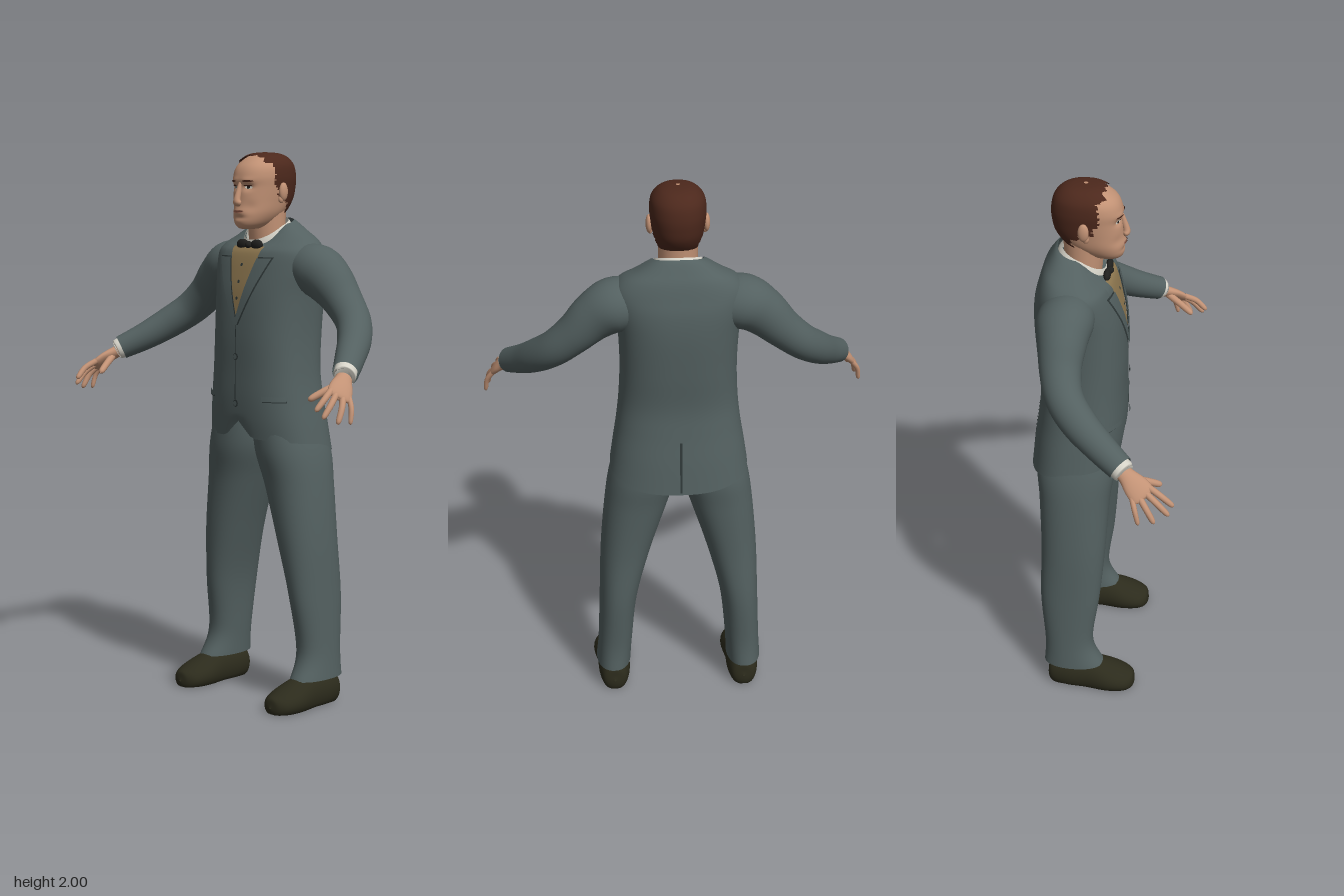
import * as THREE from 'three';

const paint = (name, color) => {
  const m = new THREE.MeshStandardMaterial({ color, side: THREE.DoubleSide });
  m.name = name;
  return m;
};
const V = (x, y, z) => new THREE.Vector3(x, y, z);
const lerp = THREE.MathUtils.lerp;

// Smooth interpolation through rows of numbers, t in 0..1
function spline(rows, t) {
  const n = rows.length - 1, i = Math.min(n - 1, Math.floor(t * n)), f = t * n - i;
  const [a, b, c, d] = [rows[Math.max(0, i - 1)], rows[i], rows[i + 1], rows[Math.min(n, i + 2)]];
  return b.map((_, k) => {
    const m0 = (c[k] - a[k]) / 2, m1 = (d[k] - b[k]) / 2;
    return (2 * f ** 3 - 3 * f * f + 1) * b[k] + (f ** 3 - 2 * f * f + f) * m0
      + (3 * f * f - 2 * f ** 3) * c[k] + (f ** 3 - f * f) * m1;
  });
}

// Grid surface from f(u, v); closed wraps u, keep filters faces by their centre
function surface(f, nu, nv, closed = true, keep = null) {
  const pts = [], idx = [], w = closed ? nu : nu + 1;
  for (let j = 0; j <= nv; j++) for (let i = 0; i < w; i++) pts.push(f(i / nu, j / nv));
  for (let j = 0; j < nv; j++) for (let i = 0; i < nu; i++) {
    const a = j * w + i, b = j * w + (i + 1) % w, c = b + w, d = a + w;
    if (keep && !keep(pts[a].clone().add(pts[c]).multiplyScalar(0.5))) continue;
    idx.push(a, b, c, a, c, d);
  }
  const g = new THREE.BufferGeometry().setFromPoints(pts);
  g.setIndex(idx);
  g.computeVertexNormals();
  return g;
}

// Upright form: rows of [y, halfWidth, frontZ, backZ, frontLift, backLift, centreX]
function body(rows, e = 0.85, mod = (p) => p) {
  const point = (c, s, v) => {
    const [y, hx, zf, zb, df = 0, db = 0, cx = 0] = spline(rows, v);
    const pw = (q) => Math.sign(q) * Math.abs(q) ** e;
    return mod(V(cx + hx * pw(c), y + (s > 0 ? df * s : -db * s), (zf + zb) / 2 + (zf - zb) / 2 * pw(s)));
  };
  return {
    at: (u, v) => point(Math.cos(u * 2 * Math.PI), -Math.sin(u * 2 * Math.PI), v),
    // Point on the front (or back, side = -1) at a given x and y
    on(x, y, off, side = 1) {
      let lo = 0, hi = 1, p;
      for (let k = 0; k < 24; k++) {
        const v = (lo + hi) / 2, hx = Math.max(1e-4, spline(rows, v)[1]);
        const c = Math.min(1, Math.abs(x) / hx) ** (1 / e);
        p = point(c, side * Math.sqrt(1 - c * c), v);
        if (p.y < y) lo = v; else hi = v;
      }
      return V(x, y, p.z + side * off);
    },
  };
}

// Tube along rows of [x, y, z, a, b]; a is measured along ref
function sweep(rows, ref, nu = 20, nv = 24, map = (p) => p) {
  return surface((u, v) => {
    const r = spline(rows, v), p0 = spline(rows, Math.max(0, v - 0.01)), p1 = spline(rows, Math.min(1, v + 0.01));
    const T = V(p1[0] - p0[0], p1[1] - p0[1], p1[2] - p0[2]).normalize();
    const N = T.clone().cross(ref).normalize(), S = N.clone().cross(T), t = u * 2 * Math.PI;
    return map(V(r[0], r[1], r[2]).addScaledVector(S, r[3] * Math.cos(t)).addScaledVector(N, r[4] * Math.sin(t)));
  }, nu, nv);
}

// Thin panel lying on a form between two edges x = left(y) and x = right(y)
const panel = (form, y0, y1, left, right, off, side = 1) => surface((u, v) => {
  const y = lerp(y0, y1, v);
  return form.on(lerp(left(y), right(y), u), y, off, side);
}, 10, 20, false);

// Thin oval lying on a form
function oval(form, cx, cy, rx, ry, off) {
  const g = new THREE.CircleGeometry(1, 20), p = g.attributes.position;
  for (let i = 0; i < p.count; i++) {
    const q = form.on(cx + rx * p.getX(i), cy + ry * p.getY(i), off);
    p.setXYZ(i, q.x, q.y, q.z);
  }
  g.computeVertexNormals();
  return g;
}

const ball = (x, y, z, rx, ry, rz) => new THREE.SphereGeometry(1, 20, 14).scale(rx, ry, rz).translate(x, y, z);

export function createModel() {
  const suit = paint('suit cloth', 0x536060), seam = paint('dark seam', 0x2f3838), skin = paint('skin', 0xc29275);
  const hair = paint('hair', 0x4c281c), vest = paint('waistcoat', 0x8f7850), white = paint('shirt', 0xd6d3c8);
  const black = paint('bow tie', 0x20201e), leather = paint('shoe leather', 0x2c2b1c), lip = paint('lips', 0x9c6754);
  const model = new THREE.Group();
  let target = model;
  const add = (name, mat, geo) => {
    const m = new THREE.Mesh(geo, mat);
    m.name = name;
    target.add(m);
  };

  // Jacket, with a lower back hem and a cutaway at the front
  const torso = body([
    [0.96, 0.247, 0.045, -0.285, 0.015, -0.06], [1.04, 0.235, 0.053, -0.273, 0, -0.03], [1.12, 0.222, 0.057, -0.258],
    [1.22, 0.211, 0.056, -0.25], [1.35, 0.206, 0.055, -0.26], [1.49, 0.212, 0.044, -0.268], [1.58, 0.226, 0.025, -0.264],
    [1.64, 0.228, 0.006, -0.25], [1.68, 0.2, -0.008, -0.234, -0.02, 0.01], [1.71, 0.15, -0.022, -0.215, -0.04, 0.015],
    [1.735, 0.108, -0.032, -0.196, -0.06, 0.02], [1.745, 0.088, -0.04, -0.185, -0.068, 0.02],
  ].map((r) => [...r, 0, 0].slice(0, 6)), 0.8, (p) => {
    if (p.z > 0 && p.y < 1.06) p.y += 0.7 * Math.max(0, 1 - Math.abs(p.x) / 0.07) * (1.06 - p.y);
    return p;
  });
  add('jacket', suit, surface(torso.at, 72, 66));

  // Waistcoat in the jacket opening
  const vee = (y) => Math.max(0, 0.078 * (y - 1.41) / 0.245);
  add('waistcoat', vest, panel(torso, 1.41, 1.665, (y) => -vee(y), vee, 0.005));
  [1.6, 1.54, 1.48].forEach((y) => add('waistcoatButton', seam, oval(torso, 0, y, 0.006, 0.006, 0.009)));

  // Lapels, collar and pockets on both sides
  const outer = (y) => lerp(0.012, 0.132, (y - 1.39) / 0.235);
  for (const s of [-1, 1]) {
    const strip = (name, mat, y0, y1, inn, out, off) => add(name, mat, s > 0
      ? panel(torso, y0, y1, inn, out, off) : panel(torso, y0, y1, (y) => -out(y), (y) => -inn(y), off));
    strip('lapelEdge', seam, 1.385, 1.629, vee, (y) => outer(y) + 0.004, 0.006);
    strip('lapel', suit, 1.385, 1.625, vee, outer, 0.01);
    strip('jacketCollar', suit, 1.63, 1.71, (y) => lerp(0.07, 0.09, (y - 1.63) / 0.08), () => 0.115, 0.008);
    strip('pocketSlit', seam, 1.112, 1.118, () => 0.125, () => 0.2, 0.005);
    strip('pocketFlap', suit, 1.116, 1.134, () => 0.125, () => 0.2, 0.009);
  }
  add('frontSeam', seam, panel(torso, 1.09, 1.4, () => -0.002, () => 0.002, 0.004));
  add('backVent', seam, panel(torso, 0.91, 1.1, () => 0.004, () => -0.004, 0.004, -1));
  [1.27, 1.1].forEach((y) => {
    add('jacketButton', seam, oval(torso, 0.004, y, 0.013, 0.013, 0.007));
    add('jacketButtonTop', suit, oval(torso, 0.004, y, 0.009, 0.009, 0.01));
  });

  // Shirt collar and bow tie
  const collar = body([[1.69, 0.096, -0.018, -0.194, -0.055, 0.03], [1.72, 0.089, -0.016, -0.184, -0.055, 0.03],
    [1.738, 0.08, -0.02, -0.172, -0.05, 0.03]], 0.95);
  add('shirtCollar', white, surface(collar.at, 48, 8));
  for (const s of [-1, 1]) add('bowWing', black, ball(s * 0.037, 1.67, -0.012, 0.03, 0.02, 0.013));
  add('bowKnot', black, ball(0, 1.67, -0.006, 0.014, 0.013, 0.014));

  // Head with eye sockets, brow and mouth relief
  const bump = (p, x, y, rx, ry) => Math.exp(-(((Math.abs(p.x) - x) / rx) ** 2) - ((p.y - y) / ry) ** 2);
  const headRows = [
    [1.726, 0.008, 0.012, -0.02], [1.731, 0.034, 0.032, -0.06], [1.75, 0.056, 0.044, -0.105], [1.785, 0.074, 0.046, -0.155],
    [1.83, 0.083, 0.041, -0.188], [1.875, 0.089, 0.037, -0.199], [1.915, 0.092, 0.037, -0.2], [1.95, 0.086, 0.022, -0.19],
    [1.978, 0.065, -0.012, -0.165], [1.991, 0.038, -0.043, -0.132], [1.995, 0.002, -0.084, -0.088]];
  const sculpt = (p) => {
    if (p.z > -0.03) {
      p.z += 0.004 * bump(p, 0.03, 1.9, 0.03, 0.01) - 0.01 * bump(p, 0.033, 1.876, 0.018, 0.012)
        - 0.005 * bump(p, 0.045, 1.805, 0.02, 0.02) - 0.005 * bump(p, 0, 1.768, 0.03, 0.008)
        + 0.004 * bump(p, 0, 1.79, 0.026, 0.012);
    }
    return p;
  };
  const head = body(headRows, 0.9, sculpt);
  add('head', skin, surface(head.at, 72, 80));
  add('neck', skin, sweep([[0, 1.64, -0.105, 0.07, 0.068], [0, 1.72, -0.097, 0.068, 0.068], [0, 1.82, -0.095, 0.068, 0.075]], V(1, 0, 0)));
  add('nose', skin, sweep([[0, 1.893, 0.034, 0.007, 0.006], [0, 1.865, 0.041, 0.009, 0.01], [0, 1.835, 0.05, 0.012, 0.012],
    [0, 1.822, 0.05, 0.017, 0.013], [0, 1.812, 0.045, 0.012, 0.007], [0, 1.808, 0.042, 0.001, 0.001]], V(1, 0, 0)));
  add('mouth', lip, oval(head, 0, 1.79, 0.026, 0.006, 0.002));
  add('mouthLine', hair, oval(head, 0, 1.791, 0.024, 0.0012, 0.004));
  for (const s of [-1, 1]) {
    add('eye', white, oval(head, s * 0.034, 1.876, 0.014, 0.0055, 0.002));
    add('iris', black, oval(head, s * 0.033, 1.876, 0.006, 0.0055, 0.004));
    add('eyelid', hair, oval(head, s * 0.034, 1.882, 0.016, 0.0025, 0.005));
    add('eyebrow', hair, oval(head, s * 0.036, 1.898, 0.02, 0.0035, 0.003));
    add('ear', skin, ball(s * 0.098, 1.86, -0.085, 0.012, 0.033, 0.019).rotateX(0));
    add('earLobe', skin, ball(s * 0.094, 1.833, -0.077, 0.008, 0.014, 0.011));
  }

  // Hair cap with a receding, uneven hairline
  const scalp = body(headRows.map(([y, h, f, b]) => [y + (y > 1.94 ? 0.005 : 0), h + 0.005, f + 0.004, b - 0.006]), 0.9);
  add('hair', hair, surface(scalp.at, 96, 100, true, (p) => {
    const rough = 0.006 * Math.sin(p.x * 190) + 0.004 * Math.sin(p.y * 310);
    const line = p.y > 1.96 ? -0.02 : p.y > 1.875 ? -0.042 : p.y > 1.845 ? -0.06 : p.y > 1.82 ? -0.105 : -0.125;
    return p.y > 1.782 && p.z < line + rough;
  }));

  // Mirrored limbs
  for (const s of [1, -1]) {
    target = new THREE.Group();
    target.name = s > 0 ? 'leftLimbs' : 'rightLimbs';
    target.scale.x = s;
    model.add(target);

    // Sleeve and shirt cuff
    add('sleeve', suit, sweep([
      [0.13, 1.585, -0.125, 0.09, 0.075], [0.22, 1.582, -0.132, 0.1, 0.094], [0.29, 1.542, -0.132, 0.085, 0.086],
      [0.36, 1.476, -0.129, 0.072, 0.07], [0.43, 1.412, -0.106, 0.066, 0.062], [0.49, 1.358, -0.05, 0.062, 0.057],
      [0.545, 1.305, 0.028, 0.054, 0.05], [0.598, 1.262, 0.105, 0.046, 0.043]], V(0, 0.4, 1), 32, 48));
    add('cuff', white, sweep([[0.58, 1.276, 0.08, 0.04, 0.037], [0.605, 1.255, 0.115, 0.04, 0.037], [0.606, 1.254, 0.117, 0.03, 0.026]], V(0, 0.4, 1), 24, 8));

    // Hand: palm, four fingers and a thumb
    const spread = V(0.465, -0.35, -0.81);
    add('palm', skin, sweep([[0.59, 1.262, 0.09, 0.027, 0.022], [0.61, 1.243, 0.125, 0.03, 0.021], [0.63, 1.222, 0.155, 0.041, 0.018],
      [0.645, 1.2, 0.18, 0.044, 0.015], [0.652, 1.19, 0.192, 0.034, 0.009], [0.654, 1.188, 0.195, 0.002, 0.001]], spread));
    const digit = (name, a, m, b, r) => add(name, skin, sweep([[...a, r, r], [...m, r * 0.95, r * 0.95],
      [...a.map((q, i) => lerp(m[i], b[i], 0.8)), r * 0.8, r * 0.8], [...b, 0.001, 0.001]], spread, 12, 14));
    [[0.64, 1.152, 0.288], [0.662, 1.128, 0.275], [0.685, 1.108, 0.228], [0.692, 1.103, 0.175]].forEach((tip, i) => {
      const base = V(0.643, 1.203, 0.176).addScaledVector(spread, -0.033 + i * 0.022).toArray();
      const mid = base.map((q, k) => lerp(q, tip[k], 0.5) + [0.008, 0.008, 0][k]);
      digit('finger', base, mid, tip, i === 3 ? 0.0095 : 0.0115);
    });
    digit('thumb', [0.608, 1.23, 0.14], [0.582, 1.206, 0.19], [0.557, 1.178, 0.24], 0.0135);

    // Trouser leg
    const leg = body([
      [0.1, 0.064, 0, -0.226, 0, 0, 0.247], [0.2, 0.063, -0.042, -0.222, 0, 0, 0.24], [0.4, 0.07, -0.018, -0.238, 0, 0, 0.225],
      [0.6, 0.092, 0, -0.236, 0, 0, 0.195], [0.8, 0.115, 0.012, -0.245, 0, 0, 0.154], [0.93, 0.125, 0.03, -0.255, 0, 0, 0.123],
      [1.06, 0.108, 0.03, -0.23, 0, 0, 0.1]], 0.9);
    add('trouserLeg', suit, surface(leg.at, 40, 48));

    // Shoe with a flat sole
    add('shoe', leather, sweep([
      [0.245, 0.045, -0.213, 0.004, 0.004], [0.245, 0.045, -0.2, 0.042, 0.055], [0.245, 0.048, -0.14, 0.058, 0.075],
      [0.246, 0.045, -0.06, 0.061, 0.075], [0.247, 0.035, 0.02, 0.072, 0.06], [0.247, 0.026, 0.08, 0.062, 0.045],
      [0.247, 0.024, 0.11, 0.036, 0.032], [0.247, 0.024, 0.119, 0.003, 0.003]], V(1, 0, 0), 32, 40, (p) => p.setY(Math.max(0, p.y))));
  }
  return model;
}
